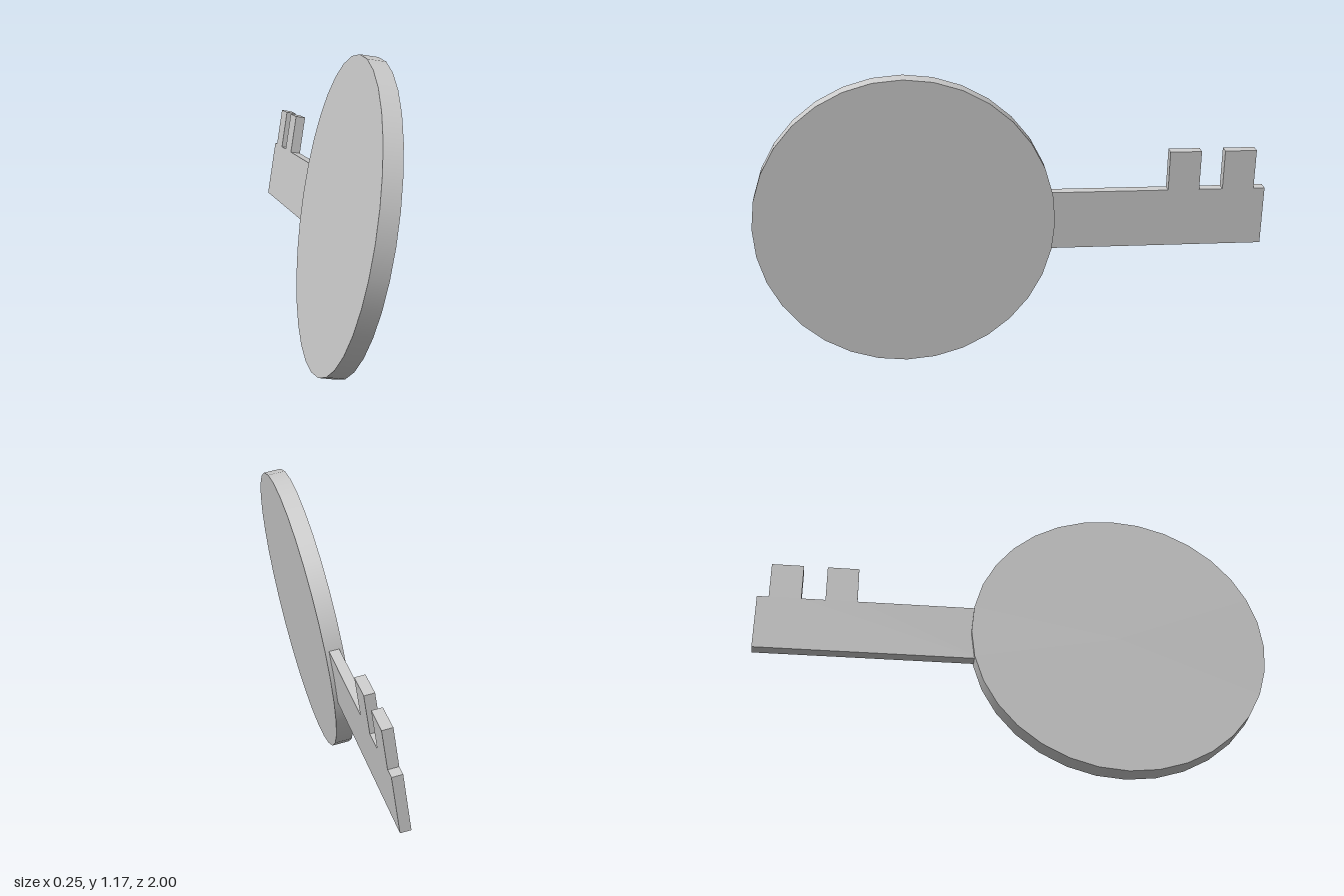
import * as THREE from 'three';

const material = new THREE.MeshStandardMaterial({ color: 0xcccccc });

function addPart(parent, name, geometry) {
  const mesh = new THREE.Mesh(geometry, material);
  mesh.name = name;
  parent.add(mesh);
  return mesh;
}

export function createModel() {
  const model = new THREE.Group();
  model.name = 'windUpKey';

  // Everything leans sideways about the key's long axis
  const key = new THREE.Group();
  key.name = 'tiltedKey';
  key.position.y = 0.5865;
  key.rotation.z = THREE.MathUtils.degToRad(-8.7);
  model.add(key);

  // Round flat handle, axis along x
  const disc = new THREE.CylinderGeometry(0.584, 0.584, 0.07, 32);
  disc.rotateZ(Math.PI / 2);
  addPart(key, 'handleDisc', disc).position.z = 0.416;

  // Blade outline, drawn with u = -z, with two teeth on the upper edge
  const half = 0.117, toothTop = 0.274;
  const shape = new THREE.Shape();
  shape.moveTo(0.13, -half);
  shape.lineTo(1, -half);
  shape.lineTo(1, half);
  for (const [outer, inner] of [[0.955, 0.83], [0.737, 0.613]]) {
    shape.lineTo(outer, half);
    shape.lineTo(outer, toothTop);
    shape.lineTo(inner, toothTop);
    shape.lineTo(inner, half);
  }
  shape.lineTo(0.13, half);
  shape.closePath();

  const thickness = 0.04;
  const blade = new THREE.ExtrudeGeometry(shape, { depth: thickness, bevelEnabled: false });
  blade.translate(0, 0, -thickness / 2);
  blade.rotateY(Math.PI / 2);
  addPart(key, 'toothedBlade', blade);

  return model;
}
